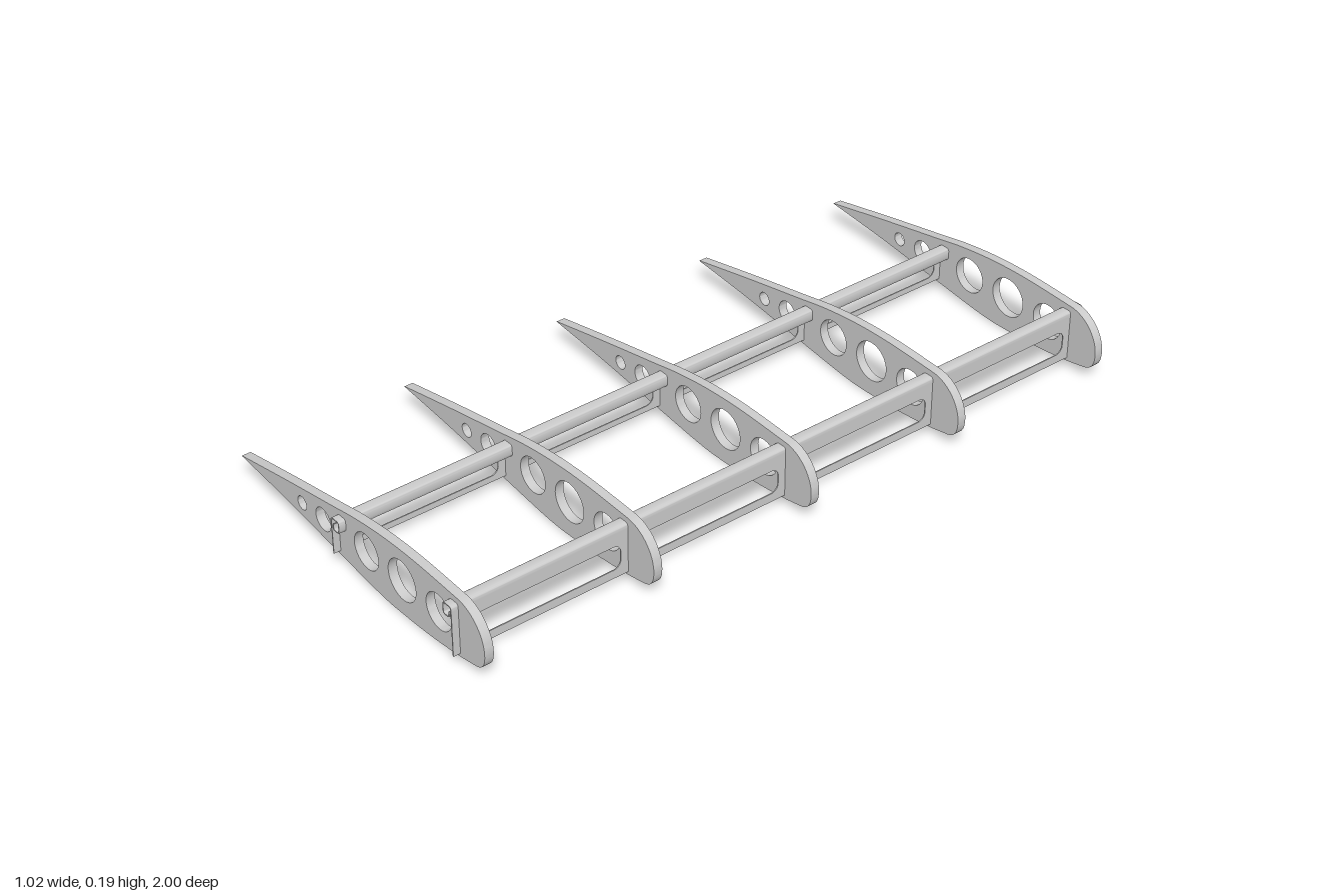
import * as THREE from 'three';
import { toCreasedNormals } from 'three/addons/utils/BufferGeometryUtils.js';

const material = new THREE.MeshStandardMaterial({ color: 0xcccccc });
const RIB_T = 0.025, SHEET = 0.003, RIB_STEP = 0.484;
const v = ([x, y]) => new THREE.Vector2(x, y);

// Extrude a shape, centred on its own depth
function extrude(shape, depth, curveSegments = 12) {
  const g = new THREE.ExtrudeGeometry(shape, { depth, bevelEnabled: false, curveSegments });
  g.translate(0, 0, -depth / 2);
  return toCreasedNormals(g, 0.6);
}

function addMesh(parent, name, geometry) {
  const mesh = new THREE.Mesh(geometry, material);
  mesh.name = name;
  parent.add(mesh);
  return mesh;
}

// Airfoil outline (clockwise) with round lightening holes (counter-clockwise)
function ribGeometry() {
  const s = new THREE.Shape();
  s.moveTo(-0.508, 0.073);
  s.splineThru([[-0.3, 0.115], [-0.1, 0.153], [0, 0.172], [0.12, 0.186], [0.25, 0.19], [0.415, 0.184]].map(v));
  s.bezierCurveTo(0.47, 0.178, 0.507, 0.13, 0.507, 0.083);
  s.bezierCurveTo(0.507, 0.05, 0.495, 0.033, 0.466, 0.029);
  s.splineThru([[0.406, 0.018], [0.3, 0.006], [0.19, 0.001], [0.09, 0.003], [-0.1, 0.026], [-0.3, 0.052], [-0.508, 0.072]].map(v));
  const holes = [[-0.237, 0.083, 0.019], [-0.145, 0.087, 0.032], [0.038, 0.099, 0.05], [0.184, 0.101, 0.056], [0.33, 0.099, 0.05]];
  for (const [x, y, r] of holes) {
    s.holes.push(new THREE.Path().absarc(x, y, r, 0, Math.PI * 2));
  }
  return extrude(s, RIB_T, 16);
}

function roundedSlot(x0, y0, x1, y1, r) {
  const p = new THREE.Path();
  p.absarc(x1 - r, y1 - r, r, 0, Math.PI / 2);
  p.absarc(x0 + r, y1 - r, r, Math.PI / 2, Math.PI);
  p.absarc(x0 + r, y0 + r, r, Math.PI, Math.PI * 1.5);
  p.absarc(x1 - r, y0 + r, r, Math.PI * 1.5, Math.PI * 2);
  p.closePath();
  return p;
}

// Strip of sheet metal following a path of rounded bends
function stripShape(corners, r) {
  const pts = corners.map(v), mid = [pts[0]];
  for (let i = 1; i < pts.length - 1; i++) {
    const toward = (q) => pts[i].clone().add(q.clone().sub(pts[i]).setLength(r));
    const bend = new THREE.QuadraticBezierCurve(toward(pts[i - 1]), pts[i], toward(pts[i + 1]));
    mid.push(...bend.getPoints(6));
  }
  mid.push(pts[pts.length - 1]);
  const side = (d) => mid.map((p, i) => {
    const t = mid[Math.min(i + 1, mid.length - 1)].clone().sub(mid[Math.max(i - 1, 0)]).normalize();
    return new THREE.Vector2(p.x - t.y * d, p.y + t.x * d);
  });
  return new THREE.Shape([...side(SHEET / 2), ...side(-SHEET / 2).reverse()]);
}

// Spar: slotted web with its top edge rolled into a hook toward dir
function makeSpar(name, x, dir, yBottom, yTop, slotTop) {
  const spar = new THREE.Group();
  spar.name = name;
  const top = yTop - SHEET / 2, join = yTop - 0.014, w = 0.031, h = 0.032;

  const web = new THREE.Shape([[-1, yBottom], [1, yBottom], [1, join], [-1, join]].map(v));
  for (let i = -1.5; i <= 1.5; i++) {
    const c = i * RIB_STEP;
    web.holes.push(roundedSlot(c - 0.208, 0.052, c + 0.208, slotTop, 0.022));
  }
  const webMesh = addMesh(spar, 'sparWeb', extrude(web, SHEET));
  webMesh.rotation.y = Math.PI / 2;
  webMesh.position.x = x;

  const hook = [[0, join], [0, top], [w, top], [w, top - h], [0.008, top - h], [0.008, top - h + 0.016]]
    .map(([u, y]) => [x + dir * u, y]);
  addMesh(spar, 'sparRolledEdge', extrude(stripShape(hook, 0.0075), 2));
  return spar;
}

export function createModel() {
  const model = new THREE.Group();
  model.name = 'wingFrame';

  // Five identical ribs along the span
  const rib = ribGeometry();
  for (let i = -2; i <= 2; i++) {
    addMesh(model, 'rib', rib).position.z = i * RIB_STEP;
  }

  // Two spars with hooks facing each other
  model.add(makeSpar('frontSpar', 0.409, -1, 0.028, 0.169, 0.119));
  model.add(makeSpar('rearSpar', -0.077, 1, 0.035, 0.143, 0.105));
  return model;
}
